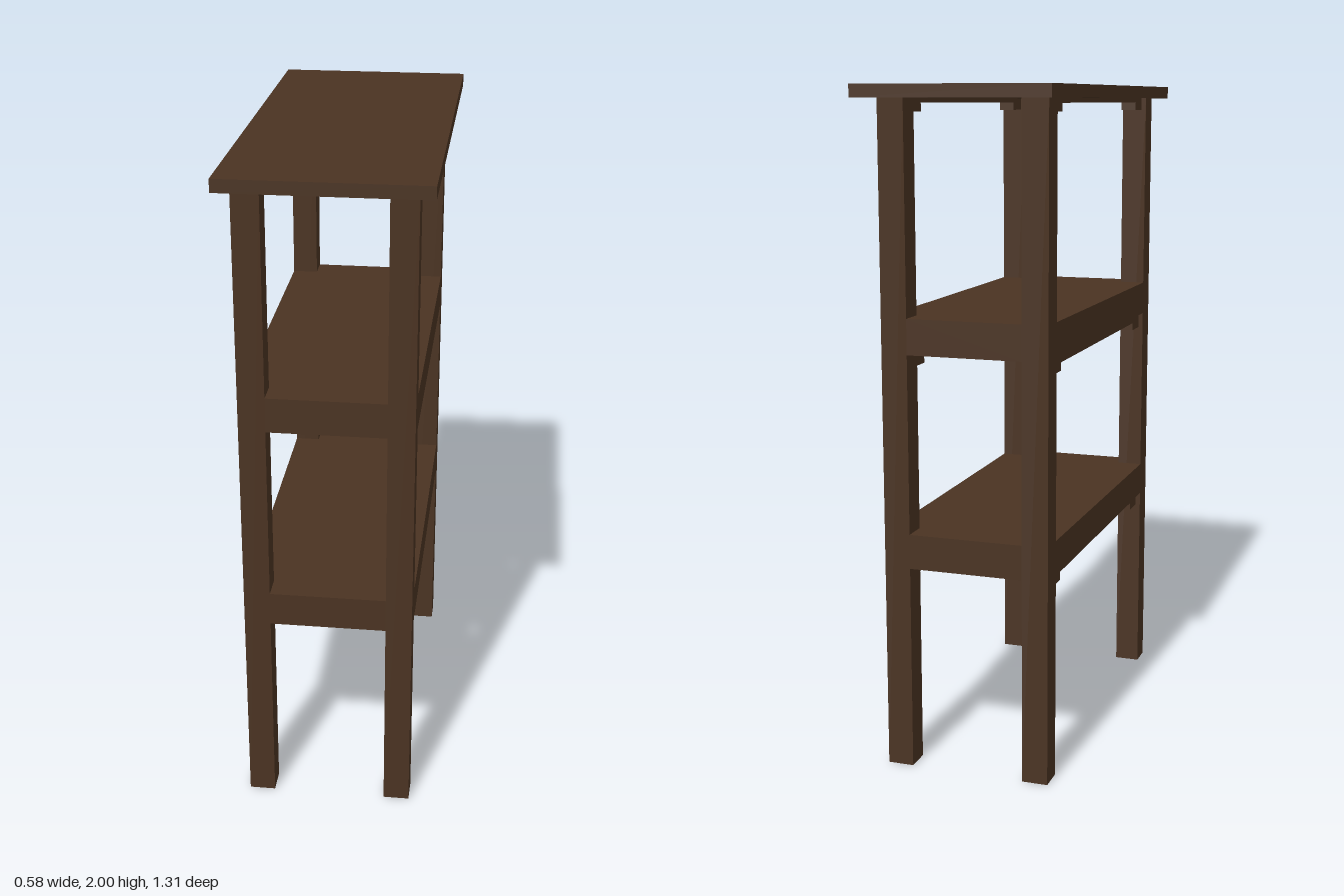
import * as THREE from 'three';

export function createModel() {
  const group = new THREE.Group();
  const wood = new THREE.MeshStandardMaterial({ color: 0x4a3322 });
  wood.name = 'dark brown wood';

  // Box given by its limits on each axis
  function box(name, [x0, x1], [y0, y1], [z0, z1]) {
    const mesh = new THREE.Mesh(new THREE.BoxGeometry(x1 - x0, y1 - y0, z1 - z0), wood);
    mesh.position.set((x0 + x1) / 2, (y0 + y1) / 2, (z0 + z1) / 2);
    mesh.name = name;
    group.add(mesh);
  }

  const legX = { right: [-0.258, -0.18], left: [0.164, 0.242] };
  const legZ = { Back: [-0.576, -0.5], Front: [0.48, 0.556] };
  const slabBottom = 1.963;

  // Table top
  box('tableTop', [-0.29, 0.29], [slabBottom, 2], [-0.654, 0.654]);

  // Four square legs
  for (const [sx, x] of Object.entries(legX))
    for (const [sz, z] of Object.entries(legZ))
      box(`${sx}${sz}Leg`, x, [0, slabBottom], z);

  // Shelf outline with its corners notched around the legs (shape y = -z)
  const [xa, xb, xc, xd] = [...legX.right, ...legX.left];
  const [za, zb, zc, zd] = [...legZ.Back, ...legZ.Front].map((z) => -z);
  const outline = new THREE.Shape([
    [xb, zd], [xc, zd], [xc, zc], [xd, zc], [xd, zb], [xc, zb],
    [xc, za], [xb, za], [xb, zb], [xa, zb], [xa, zc], [xb, zc],
  ].map(([x, y]) => new THREE.Vector2(x, y)));

  function shelf(name, bottom, top) {
    const geo = new THREE.ExtrudeGeometry(outline, { depth: top - bottom, bevelEnabled: false });
    geo.rotateX(-Math.PI / 2);
    const mesh = new THREE.Mesh(geo, wood);
    mesh.position.y = bottom;
    mesh.name = name;
    group.add(mesh);
  }
  shelf('lowerShelf', 0.615, 0.718);
  shelf('upperShelf', 1.247, 1.351);

  // Long rails with end blocks, tucked under each board between the legs
  const levels = [
    ['lower', 0.615, 0.597, 0.573],
    ['upper', 1.247, 1.222, 1.198],
    ['top', slabBottom, 1.949, 1.925],
  ];
  for (const [level, y, railY, blockY] of levels)
    for (const [side, [x0, x1]] of Object.entries(legX)) {
      const x = [x0 + 0.015, x1 - 0.015];
      box(`${level}Rail_${side}`, x, [railY, y], [-0.5, 0.48]);
      box(`${level}FrontBlock_${side}`, x, [blockY, railY], [0.402, 0.48]);
      box(`${level}BackBlock_${side}`, x, [blockY, railY], [-0.5, -0.41]);
    }

  return group;
}
